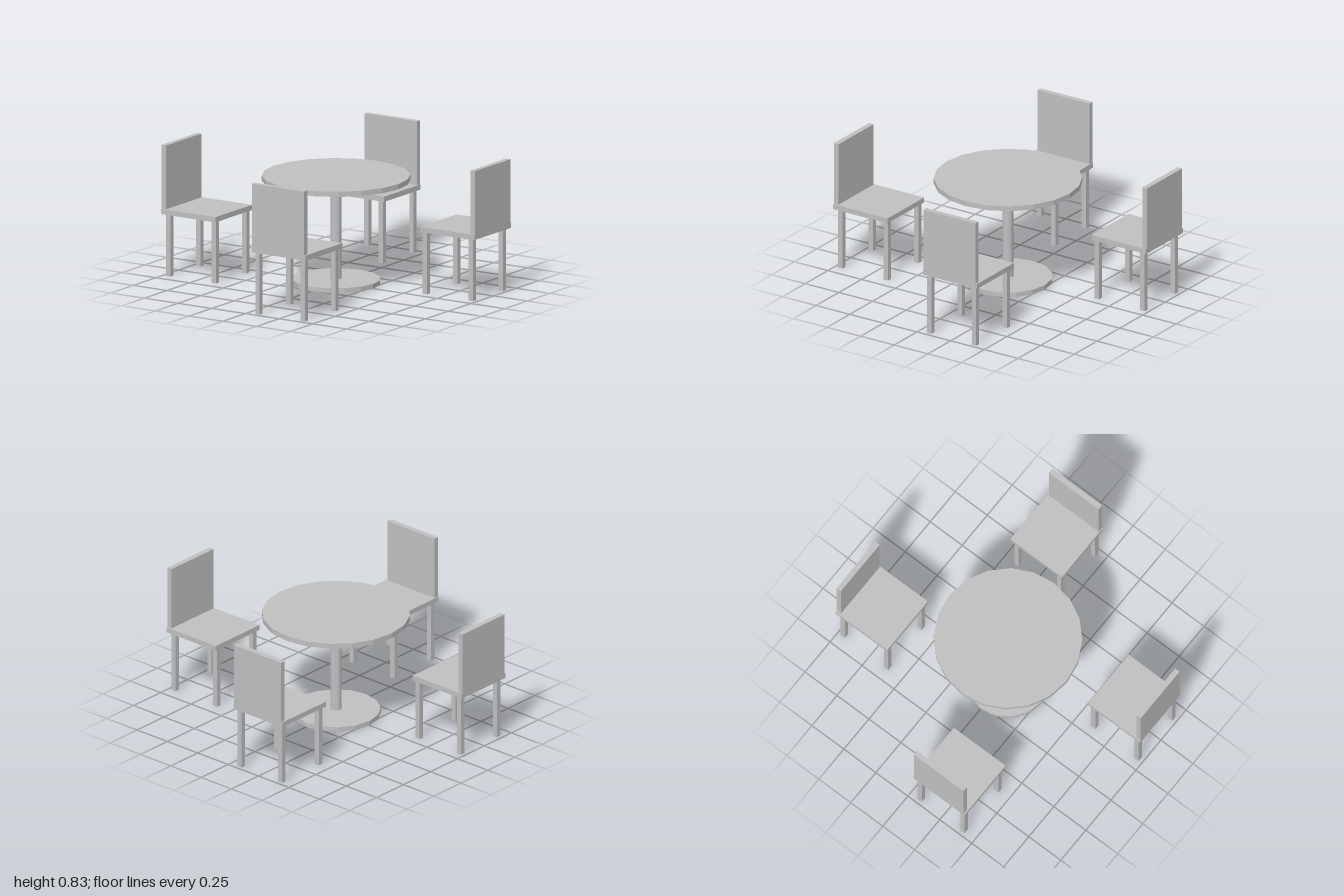
import * as THREE from 'three';

export function createModel() {
  const model = new THREE.Group();
  model.name = 'diningSet';
  const grey = new THREE.MeshStandardMaterial({ color: 0xc0c0c0, flatShading: true });
  grey.name = 'plain grey';

  const add = (parent, name, geometry, x, y, z) => {
    const mesh = new THREE.Mesh(geometry, grey);
    mesh.name = name;
    mesh.position.set(x, y, z);
    parent.add(mesh);
  };
  const disc = (radius, bottom, top, sides) =>
    new THREE.CylinderGeometry(radius, radius, top - bottom, sides).translate(0, (bottom + top) / 2, 0);

  // Round pedestal table
  const table = new THREE.Group();
  table.name = 'table';
  add(table, 'tableTop', disc(0.458, 0.65, 0.683, 20), 0, 0, 0);
  add(table, 'pedestal', disc(0.035, 0.03, 0.65, 12), 0, 0, 0);
  add(table, 'tableBase', disc(0.276, 0, 0.03, 16), 0, 0, 0);
  model.add(table);

  // One chair facing the table, its back on the outer side
  const seat = new THREE.BoxGeometry(0.404, 0.033, 0.404);
  const back = new THREE.BoxGeometry(0.388, 0.403, 0.034);
  const leg = new THREE.BoxGeometry(0.033, 0.392, 0.033);
  function makeChair() {
    const chair = new THREE.Group();
    chair.name = 'chair';
    add(chair, 'seat', seat, 0.244, 0.4085, 0.796);
    add(chair, 'backrest', back, 0.242, 0.6265, 0.983);
    for (const x of [0.074, 0.408])
      for (const z of [0.621, 0.96]) add(chair, 'chairLeg', leg, x, 0.196, z);
    return chair;
  }

  // Four chairs in quarter turns around the table
  for (let i = 0; i < 4; i++) {
    const chair = makeChair();
    chair.rotation.y = (i * Math.PI) / 2;
    model.add(chair);
  }
  return model;
}
